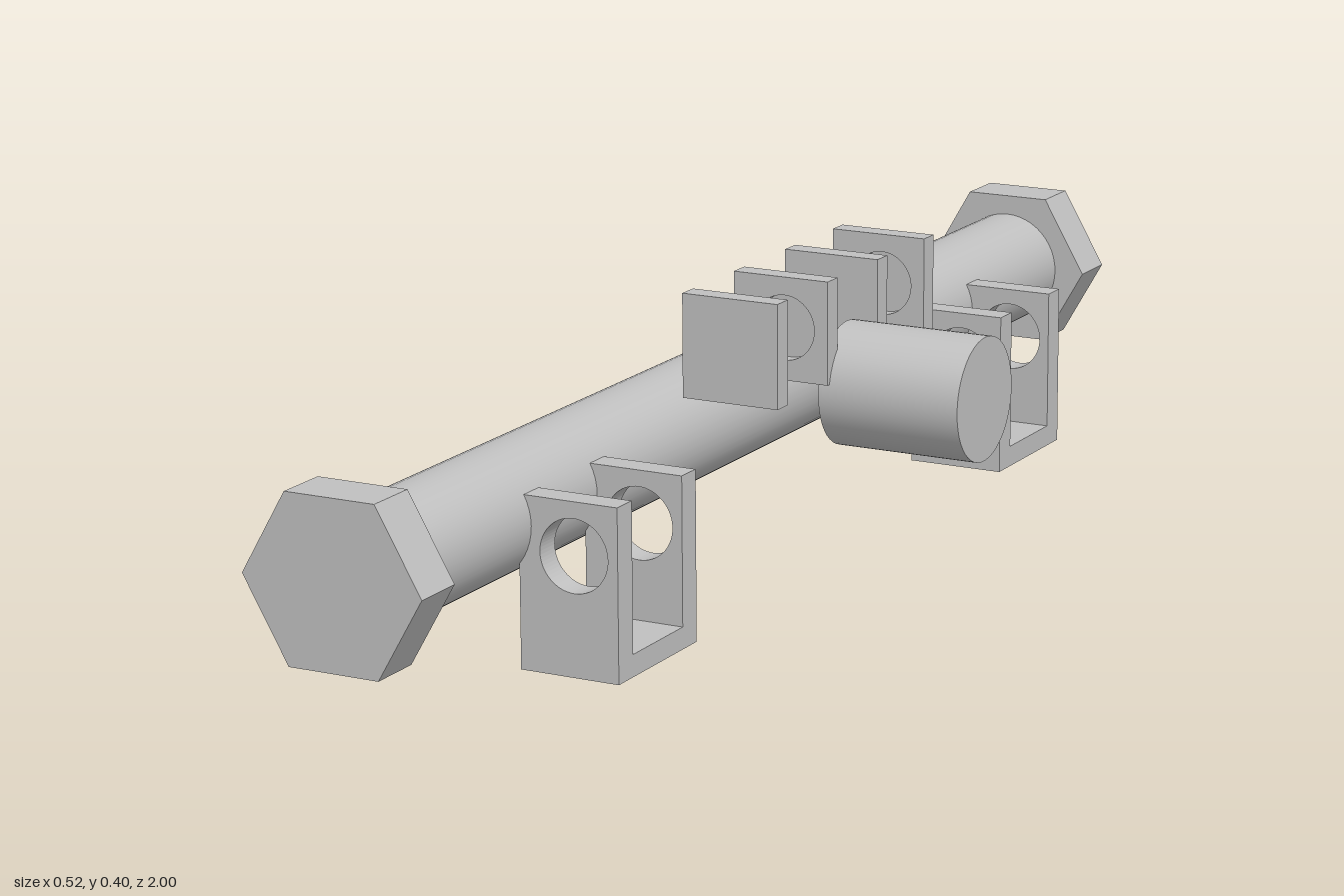
import * as THREE from 'three';

export function createModel() {
  const root = new THREE.Group();
  const steel = new THREE.MeshStandardMaterial({ color: 0xc0c0c0 });
  steel.name = 'steel grey';

  function add(name, geometry, x, y, z, parent = root) {
    const mesh = new THREE.Mesh(geometry, steel);
    mesh.name = name;
    mesh.position.set(x, y, z);
    parent.add(mesh);
    return mesh;
  }

  // Upright plate with a round hole, lying from z = 0 to z = depth
  function holedPlate(x0, x1, y0, y1, holeX, holeY, radius, depth) {
    const shape = new THREE.Shape([
      new THREE.Vector2(x0, y0), new THREE.Vector2(x1, y0),
      new THREE.Vector2(x1, y1), new THREE.Vector2(x0, y1),
    ]);
    const hole = new THREE.Path();
    hole.absarc(holeX, holeY, radius, 0, Math.PI * 2, true);
    shape.holes.push(hole);
    return new THREE.ExtrudeGeometry(shape, { depth, bevelEnabled: false, curveSegments: 32 });
  }

  // Long round bar
  const barX = -0.135, barY = 0.191;
  const bar = new THREE.CylinderGeometry(0.082, 0.082, 1.86, 48).rotateX(Math.PI / 2);
  add('longBar', bar, barX, barY, 0);

  // Hexagonal end caps, corners pointing sideways
  const hexShape = new THREE.Shape();
  for (let i = 0; i < 6; i++) {
    const a = (i * Math.PI) / 3;
    hexShape[i ? 'lineTo' : 'moveTo'](0.128 * Math.cos(a), 0.128 * Math.sin(a));
  }
  const hex = new THREE.ExtrudeGeometry(hexShape, { depth: 0.075, bevelEnabled: false });
  add('frontHexCap', hex, barX, barY, 0.925);
  add('backHexCap', hex, barX, barY, -1);

  // U-shaped brackets with a hole through both walls
  const wall = holedPlate(-0.071, 0.071, 0, 0.231, 0.008, 0.16, 0.049, 0.037);
  const base = new THREE.BoxGeometry(0.142, 0.03, 0.13);
  for (const side of [1, -1]) {
    const bracket = new THREE.Group();
    bracket.name = side > 0 ? 'frontBracket' : 'backBracket';
    bracket.position.z = side * 0.563;
    add('outerWall', wall, 0, 0, 0.065, bracket);
    add('innerWall', wall, 0, 0, -0.102, bracket);
    add('bracketBase', base, 0, 0.015, 0, bracket);
    root.add(bracket);
  }

  // Two pairs of bearing plates whose blind round recesses face each other
  const rim = holedPlate(-0.071, 0.071, 0.256, 0.399, 0.006, 0.329, 0.045, 0.02);
  const backing = new THREE.BoxGeometry(0.142, 0.143, 0.01);
  for (const [z, facing] of [[0.22, -1], [0.075, 1], [-0.075, -1], [-0.22, 1]]) {
    const plate = new THREE.Group();
    plate.name = 'bearingPlate';
    plate.position.z = z;
    add('recessRim', rim, 0, 0, facing > 0 ? -0.005 : -0.015, plate);
    add('plateBacking', backing, 0, 0.3275, -facing * 0.01, plate);
    root.add(plate);
  }

  // Sideways drum
  const drum = new THREE.CylinderGeometry(0.086, 0.086, 0.207, 48).rotateZ(Math.PI / 2);
  add('sideDrum', drum, 0.1585, 0.239, 0);

  return root;
}
